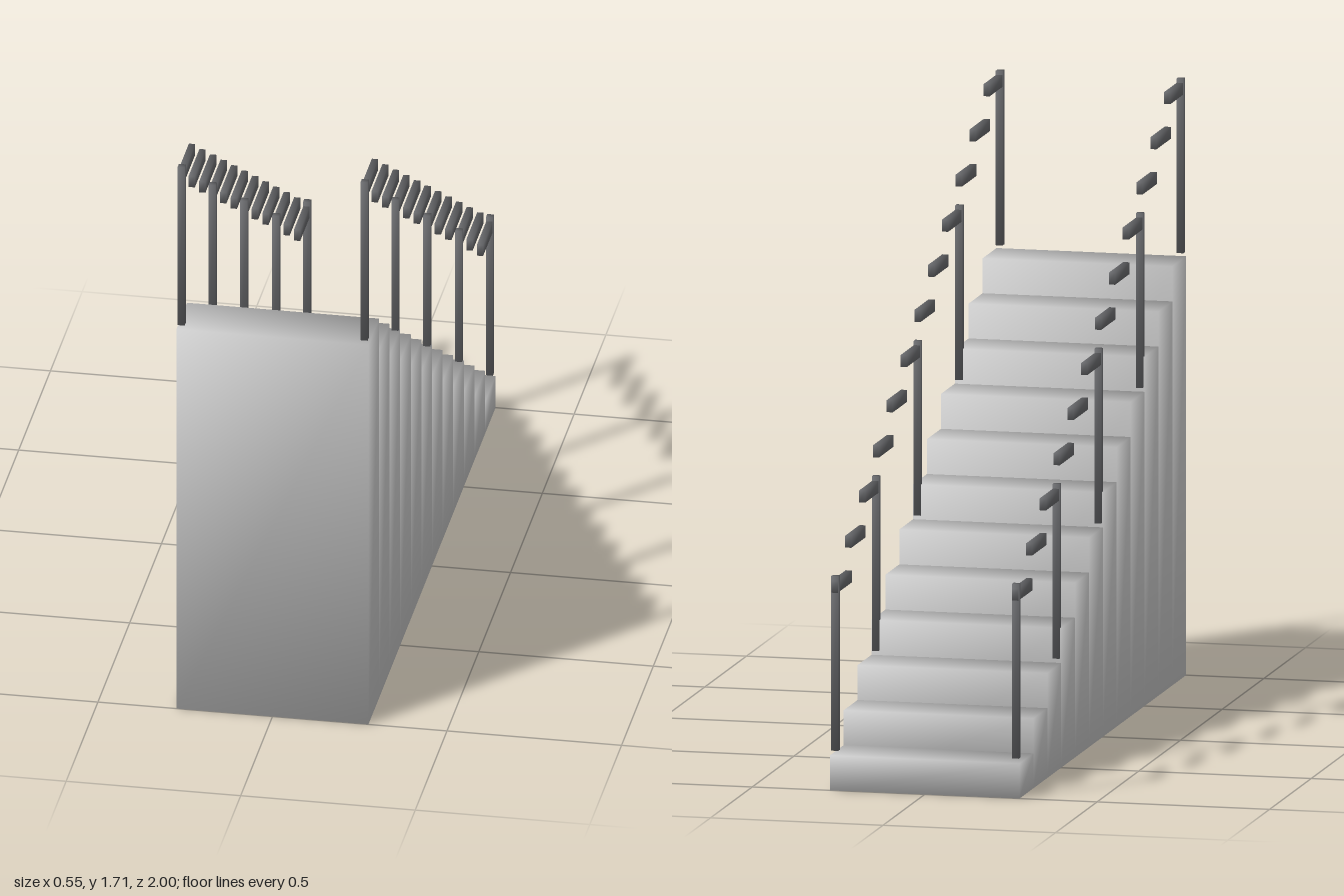
import * as THREE from 'three';

const STEPS = 12, DEPTH = 2 / STEPS, RISE = 0.1, WIDTH = 0.55, RAIL_X = 0.262;

// Box whose normals point out through its corners, so shading runs smoothly over the edges
function softBox(w, h, d) {
  const g = new THREE.BoxGeometry(w, h, d);
  const { position, normal } = g.attributes;
  const n = new THREE.Vector3();
  for (let i = 0; i < position.count; i++) {
    n.set(Math.sign(position.getX(i)), Math.sign(position.getY(i)), Math.sign(position.getZ(i))).normalize();
    normal.setXYZ(i, n.x, n.y, n.z);
  }
  return g;
}

export function createModel() {
  const model = new THREE.Group();
  model.name = 'staircase';
  const material = new THREE.MeshStandardMaterial({ color: 0xcccccc });
  const railMaterial = new THREE.MeshStandardMaterial({ color: 0x6a6b6e });

  function add(name, geometry, mat, x, y, z) {
    const mesh = new THREE.Mesh(geometry, mat);
    mesh.name = name;
    mesh.position.set(x, y, z);
    model.add(mesh);
  }

  // Solid steps, each reaching the ground, climbing towards the front
  for (let i = 0; i < STEPS; i++) {
    const h = RISE * (i + 1);
    add('step', softBox(WIDTH, h, DEPTH), material, 0, h / 2, -1 + DEPTH * (i + 0.5));
  }

  const railGeometry = softBox(0.018, 0.034, 0.172);
  const postGeometry = softBox(0.02, 0.5, 0.02);
  // Post positions as [height of the foot, z]: at the ends and at every third step
  const posts = [[0.113, -0.985], [0.313, -0.498], [0.612, 0.003], [0.912, 0.502], [1.212, 0.988]];
  for (const side of [-1, 1]) {
    const name = side > 0 ? 'left' : 'right';
    // Level handrail segments, one above each step
    for (let i = 0; i < STEPS; i++) {
      add(name + 'Rail', railGeometry, railMaterial,
        side * RAIL_X, 0.583 + RISE * i, -0.912 + 0.1658 * i);
    }
    for (const [foot, z] of posts) {
      add(name + 'Post', postGeometry, railMaterial, side * RAIL_X, foot + 0.25, z);
    }
  }
  return model;
}
